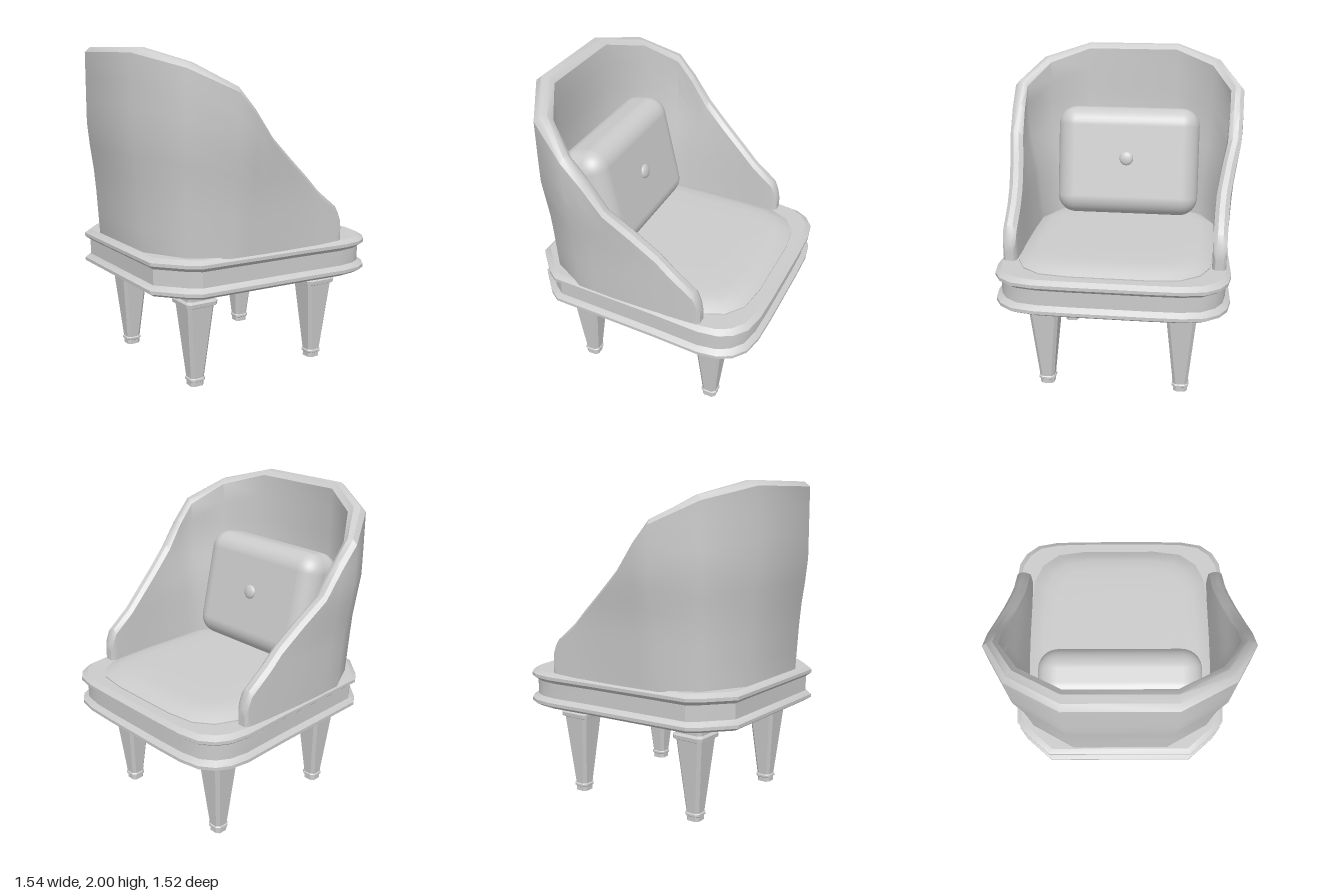
import * as THREE from 'three';
import { RoundedBoxGeometry } from 'three/addons/geometries/RoundedBoxGeometry.js';
import { toCreasedNormals } from 'three/addons/utils/BufferGeometryUtils.js';

const material = new THREE.MeshStandardMaterial({ color: 0xcccccc });

// Skin a stack of closed rings (even point count) and cap both ends.
function loft(rings, crease) {
  const pos = [];
  const quad = (a, b, c, d) => [a, b, c, a, c, d].forEach((p) => pos.push(...p));
  const n = rings[0].length;
  for (let k = 0; k < rings.length - 1; k++) {
    const r = rings[k], s = rings[k + 1];
    for (let i = 0; i < n; i++) {
      const j = (i + 1) % n;
      quad(r[i], r[j], s[j], s[i]);
    }
  }
  const first = rings[0], last = rings[rings.length - 1];
  for (let i = 0; i < n / 2 - 1; i++) {
    quad(last[i], last[i + 1], last[n - 2 - i], last[n - 1 - i]);
    quad(first[n - 1 - i], first[n - 2 - i], first[i + 1], first[i]);
  }
  const geo = new THREE.BufferGeometry();
  geo.setAttribute('position', new THREE.Float32BufferAttribute(pos, 3));
  return toCreasedNormals(geo, crease);
}

// Half outline (z > 0, front to back) mirrored into a full loop.
const mirrorOutline = (half) => [...half.map(([x, z]) => [x, -z]), ...[...half].reverse()];

// Stack an outline at [y, inset] levels, shrinking it about the centre (cx, 0).
function stack(outline, levels, halfX, halfZ, cx) {
  return levels.map(([y, inset]) => outline.map(([x, z]) => [
    cx + (x - cx) * (1 - inset / halfX), y, z * (1 - inset / halfZ)]));
}

function addMesh(parent, name, geometry) {
  const mesh = new THREE.Mesh(geometry, material);
  mesh.name = name;
  parent.add(mesh);
  return mesh;
}

function baseGeometry() {
  const outline = mirrorOutline([[0.77, 0.24], [0.765, 0.44], [0.74, 0.57], [0.68, 0.65], [0.6, 0.695],
    [0.48, 0.712], [0.17, 0.695], [-0.53, 0.67], [-0.6, 0.62], [-0.745, 0.455]]);
  const levels = [[0.6, 0.03], [0.62, 0], [0.64, 0], [0.665, 0.03], [0.76, 0.03],
    [0.785, 0], [0.805, 0], [0.828, 0.03]];
  return loft(stack(outline, levels, 0.75, 0.71, 0.01), 0.5);
}

function seatGeometry() {
  const outline = mirrorOutline([[0.68, 0.24], [0.655, 0.42], [0.575, 0.53], [0.45, 0.585],
    [0.2, 0.6], [-0.3, 0.6], [-0.48, 0.52], [-0.6, 0.3]]);
  const levels = [[0.81, 0], [0.835, 0], [0.862, 0.045], [0.877, 0.09], [0.882, 0.16], [0.885, 0.3]];
  return loft(stack(outline, levels, 0.64, 0.6, 0.04), 0.7);
}

// Curved wraparound back: one upright wall section per station along its plan.
function backGeometry() {
  // [outer x, z at full flare, outer x, z at seat, wall dx, dz, top height]
  const stations = [
    [-0.77, 0.31, -0.705, 0.3, 0.12, -0.01, 2.0],
    [-0.59, 0.62, -0.56, 0.56, 0.085, -0.07, 1.92],
    [-0.34, 0.76, -0.34, 0.675, 0.02, -0.085, 1.79],
    [-0.22, 0.758, -0.22, 0.68, 0.01, -0.085, 1.66],
    [-0.1, 0.755, -0.1, 0.685, 0, -0.085, 1.5],
    [0.05, 0.735, 0.05, 0.685, 0, -0.085, 1.37],
    [0.2, 0.71, 0.2, 0.682, 0, -0.085, 1.24],
    [0.29, 0.7, 0.29, 0.682, 0, -0.085, 1.15],
    [0.43, 0.69, 0.43, 0.682, 0, -0.085, 1.04],
    [0.455, 0.69, 0.455, 0.68, 0, -0.08, 0.98],
    [0.472, 0.67, 0.472, 0.665, 0, -0.05, 0.93],
  ];
  const flare = (y) => {
    const t = THREE.MathUtils.clamp((y - 0.82) / 0.68, 0, 1);
    return t < 0.56 ? t * 0.65 : 0.364 + (t - 0.56) * 1.445;
  };
  const section = ([fx, fz, bx, bz, dx, dz, top], side) => {
    const point = (y, across) => {
      const f = flare(y);
      return [bx + (fx - bx) * f + dx * across, y, side * (bz + (fz - bz) * f + dz * across)];
    };
    const ys = [];
    for (let i = 0; i <= 8; i++) ys.push(0.82 + (top - 0.03 - 0.82) * i / 8);
    const inner = [...ys.map((y) => point(y, 1)), point(top, 0.7)];
    const outer = [...ys.map((y) => point(y, 0)), point(top, 0.3)];
    return [...inner, ...outer.reverse()];
  };
  const rings = [...[...stations].reverse().map((s) => section(s, -1)),
    ...stations.map((s) => section(s, 1))];
  return loft(rings, 0.65);
}

// Tapered square leg with chamfered corners, a collar and a small foot ring.
function legGeometry() {
  const levels = [[0, 0.044, 0.4], [0.028, 0.044, 0.4], [0.034, 0.052, 0.4], [0.046, 0.052, 0.4],
    [0.052, 0.046, 0.4], [0.505, 0.09, 0.22], [0.512, 0.104, 0.2], [0.535, 0.106, 0.2],
    [0.548, 0.092, 0.2], [0.61, 0.094, 0.2]];
  const rings = levels.map(([y, h, chamfer]) => {
    const c = h * (1 - chamfer);
    return [[h, c], [h, -c], [c, -h], [-c, -h], [-h, -c], [-h, c], [-c, h], [c, h]]
      .map(([x, z]) => [x, y, z]);
  });
  return loft(rings, 0.3);
}

export function createModel() {
  const chair = new THREE.Group();
  chair.name = 'armchair';

  addMesh(chair, 'base', baseGeometry());
  addMesh(chair, 'seatCushion', seatGeometry());
  addMesh(chair, 'wraparoundBack', backGeometry());

  // Back pillow leaning against the rear wall, with a centre button
  const pillow = new THREE.Group();
  pillow.name = 'backPillow';
  addMesh(pillow, 'pillowBody', new RoundedBoxGeometry(0.32, 0.72, 0.95, 5, 0.12));
  const button = addMesh(pillow, 'pillowButton', new THREE.SphereGeometry(0.046, 16, 12));
  button.scale.x = 0.45;
  button.position.set(0.16, 0.02, 0);
  pillow.position.set(-0.38, 1.252, 0);
  pillow.rotation.z = 0.22;
  chair.add(pillow);

  // Four legs
  const leg = legGeometry();
  for (const [x, name] of [[0.455, 'frontLeg'], [-0.435, 'backLeg']]) {
    for (const z of [-0.425, 0.425]) addMesh(chair, name, leg).position.set(x, 0, z);
  }
  return chair;
}
